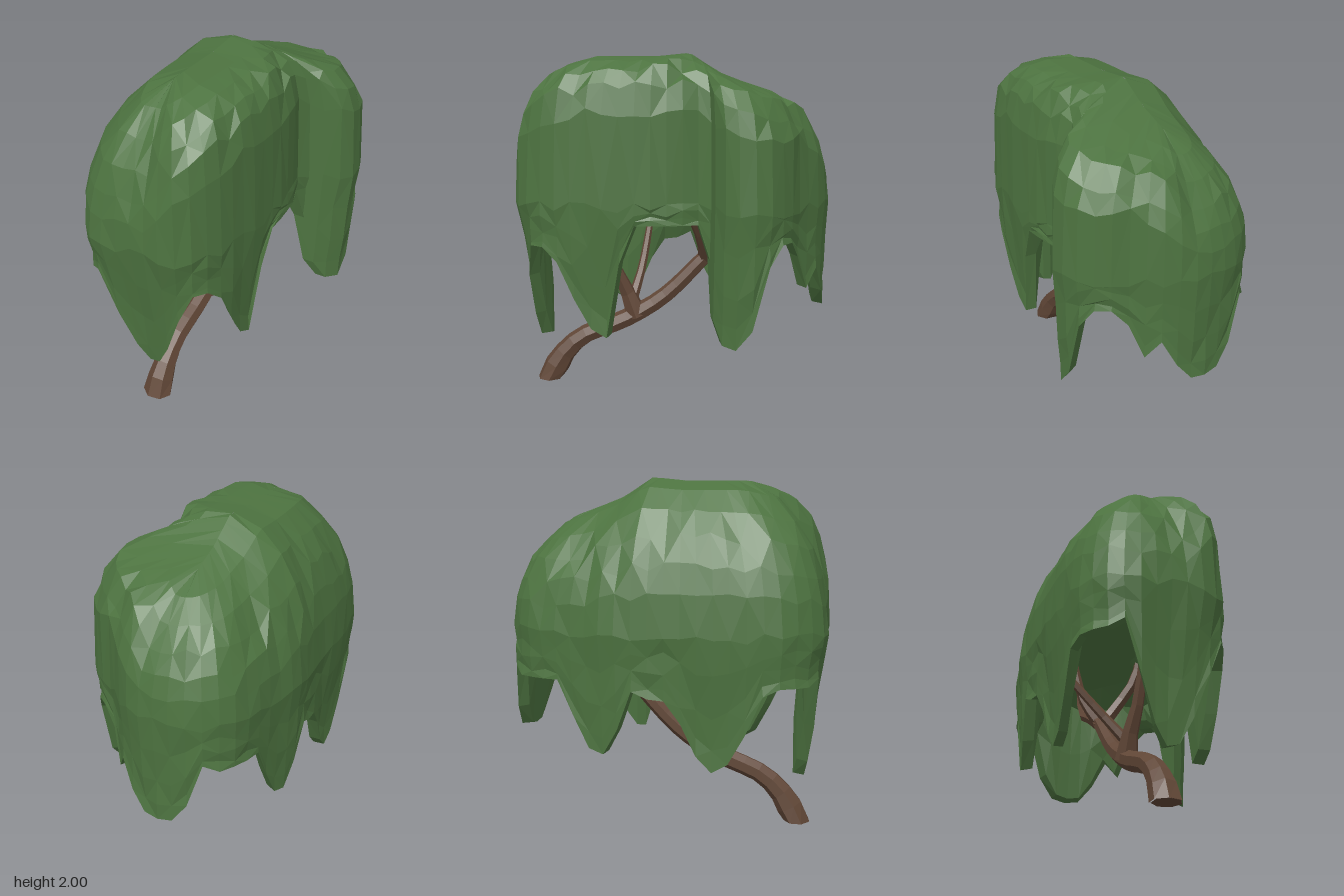
import * as THREE from 'three';

const leafMat = new THREE.MeshStandardMaterial({ color: 0x4d7340, flatShading: true });
const barkMat = new THREE.MeshStandardMaterial({ color: 0x604636, flatShading: true });
const { lerp, smoothstep, clamp } = THREE.MathUtils;

// Repeatable noise in -1..1
const noise = (i, j) => {
  const s = Math.sin(i * 127.1 + j * 311.7) * 43758.5453;
  return (s - Math.floor(s)) * 2 - 1;
};

// Canopy plan outline [x, z], from the front round by the left side
const outline = [
  [-0.08, 0.93], [0.2, 0.89], [0.33, 0.7], [0.37, 0.48], [0.385, 0.15], [0.36, -0.08],
  [0.34, -0.21], [0.46, -0.25], [0.58, -0.36], [0.575, -0.5], [0.49, -0.63], [0.31, -0.75],
  [0.15, -0.88], [-0.04, -0.93], [-0.3, -0.89], [-0.46, -0.75], [-0.53, -0.5], [-0.59, -0.2],
  [-0.575, 0.15], [-0.57, 0.45], [-0.52, 0.73], [-0.36, 0.92],
];

// Hanging foliage: x, z, half width towards the front, half width towards the back, tip height, roundness
const droops = [
  [-0.05, 0.93, 0.27, 0.27, 0.28, 1.7], [0.37, 0.41, 0.26, 0.11, 0.38, 1.3], [0.57, -0.36, 0.25, 0.19, 0.38, 1.9],
  [0.24, -0.78, 0.1, 0.1, 0.67, 1.6], [-0.06, -0.92, 0.26, 0.26, 0.5, 2.4], [-0.57, 0.36, 0.25, 0.25, 0.39, 1.4],
  [-0.57, -0.33, 0.2, 0.2, 0.46, 1.4], [-0.57, 0.03, 0.1, 0.1, 0.78, 1.3],
];

// Crown height along z
const crown = [[-1, 1.7], [-0.7, 1.76], [-0.45, 1.82], [-0.27, 1.89], [-0.1, 2], [0.1, 1.98], [0.45, 1.98], [0.65, 1.93], [1, 1.84]];
function crownHeight(z) {
  const k = crown.findIndex((c) => c[0] >= z);
  const [z0, y0] = crown[k - 1], [z1, y1] = crown[k];
  return lerp(y0, y1, (z - z0) / (z1 - z0));
}

// Lower edge of the canopy below a point of the outline
function skirtHeight(x, z) {
  const base = x > 0.3 && z > -0.24 && z < 0.35 ? 1.05 : x < -0.4 ? 0.87 : z < -0.5 ? 0.97 : 0.91;
  let y = base;
  for (const [dx, dz, front, back, tip, round] of droops) {
    const f = clamp((Math.hypot(x - dx, z - dz) - 0.03) / (z > dz ? front : back), 0, 1);
    y = Math.min(y, lerp(tip, base, f ** round));
  }
  return y;
}

// Closed foliage shell: dome, hanging skirt, inner wall and ceiling
function makeCanopy() {
  const cols = 56, widest = 1.15, midX = -0.08;
  const curve = new THREE.CatmullRomCurve3(outline.map(([x, z]) => new THREE.Vector3(x, 0, z)), true);
  curve.arcLengthDivisions = 600;
  const domeRows = [0, 0.35, 0.6, 0.78, 0.9, 0.97, 1];
  const skirtRows = [0.3, 0.6, 0.85, 1];
  const pos = [], index = [];
  let rows = 0;
  for (let i = 0; i < cols; i++) {
    const { x, z } = curve.getPointAt(i / cols);
    const midZ = z * 0.5;
    const len = Math.hypot(x - midX, z - midZ);
    const bottom = skirtHeight(x, z);
    const lean = z < -0.75 ? 0.02 : lerp(0.11, 0.05, smoothstep(Math.abs(x + 0.08), 0.25, 0.42));
    const power = lerp(2, 4.6, smoothstep(x, 0, 0.35));
    const col = [];
    const put = (r, y) => col.push([lerp(midX, x, r), y, lerp(midZ, z, r)]);
    // Dome
    domeRows.forEach((r, j) => {
      const wob = r > 0.5 ? noise(i, j) : 0;
      const top = crownHeight(lerp(midZ, z, r));
      const y = widest + (top - widest) * (1 - r ** power) ** (1 / power);
      put(r - 0.012 * Math.abs(wob) / len, y + wob * (r > 0.7 ? 0.035 : 0.008));
    });
    // Outer skirt
    const inset = (y) => lean * (widest - y) / 0.75;
    skirtRows.forEach((t, j) => {
      const y = lerp(widest, bottom, t);
      const wob = t < 1 ? 0.018 * Math.abs(noise(i, j + 20)) : 0;
      put(1 - (inset(y) + wob) / len, y + (t < 1 ? 0.02 * noise(i, j + 40) : 0));
    });
    // Inner wall, thicker towards the top, and ceiling
    const mid = Math.max(lerp(bottom, 1.1, 0.4), Math.min(0.85, bottom + 0.3));
    put(1 - (inset(bottom) + 0.065) / len, bottom + 0.01);
    put(1 - (inset(mid) + 0.115) / len, mid);
    put(1 - 0.16 / len, 1.12 + 0.02 * noise(i, 60));
    put(0.4, 1.2);
    put(0, 1.22);
    rows = col.length;
    pos.push(...col.flat());
  }
  for (let i = 0; i < cols; i++) {
    for (let j = 0; j < rows - 1; j++) {
      const a = i * rows + j, b = ((i + 1) % cols) * rows + j;
      if ((i + j) % 2) index.push(a, a + 1, b + 1, a, b + 1, b);
      else index.push(a, a + 1, b, b, a + 1, b + 1);
    }
  }
  const geo = new THREE.BufferGeometry();
  geo.setAttribute('position', new THREE.Float32BufferAttribute(pos, 3));
  geo.setIndex(index);
  geo.computeVertexNormals();
  return geo;
}

// Tapered limb through points [x, y, z, radius]
function makeLimb(points, segs, sides) {
  const curve = new THREE.CatmullRomCurve3(points.map(([x, y, z]) => new THREE.Vector3(x, y, z)));
  const geo = new THREE.TubeGeometry(curve, segs, 1, sides);
  const p = geo.attributes.position, v = new THREE.Vector3();
  for (let k = 0; k < p.count; k++) {
    const u = Math.floor(k / (sides + 1)) / segs;
    const c = curve.getPointAt(u);
    const s = curve.getUtoTmapping(u) * (points.length - 1);
    const n = Math.min(Math.floor(s), points.length - 2);
    const r = lerp(points[n][3], points[n + 1][3], s - n);
    v.fromBufferAttribute(p, k).sub(c).multiplyScalar(r).add(c);
    // Foot is cut level with the ground
    if (c.y < 0.001) v.y = 0;
    p.setXYZ(k, v.x, Math.max(0, v.y), v.z);
  }
  geo.computeVertexNormals();
  return geo;
}

export function createModel() {
  const model = new THREE.Group();
  model.name = 'weepingTree';
  const add = (name, geo, mat, parent = model) => {
    const mesh = new THREE.Mesh(geo, mat);
    mesh.name = name;
    parent.add(mesh);
    return mesh;
  };

  add('canopy', makeCanopy(), leafMat);

  const wood = new THREE.Group();
  wood.name = 'wood';
  model.add(wood);
  add('trunk', makeLimb([
    [-0.07, 0, 0.765, 0.09], [-0.07, 0.15, 0.68, 0.068], [-0.07, 0.265, 0.56, 0.058], [-0.07, 0.38, 0.29, 0.058],
    [-0.07, 0.52, 0.06, 0.052], [-0.07, 0.8, -0.22, 0.044],
  ], 14, 7), barkMat, wood);
  const foot = add('trunkFoot', new THREE.CircleGeometry(0.08, 7), barkMat, wood);
  foot.rotation.x = Math.PI / 2;
  foot.position.set(-0.07, 0.001, 0.765);

  // Branches rising into the foliage
  const branches = {
    frontBranch: [[-0.07, 0.4, 0.22, 0.07], [-0.07, 0.52, 0.265, 0.05], [-0.05, 0.68, 0.335, 0.036], [-0.02, 1.3, 0.5, 0.025]],
    frontTwig: [[-0.07, 0.5, 0.25, 0.034], [-0.2, 0.66, 0.2, 0.026], [-0.46, 0.95, 0.15, 0.02]],
    sideBranch: [[-0.07, 0.77, -0.2, 0.044], [0.02, 0.9, -0.18, 0.036], [0.12, 1.08, -0.12, 0.034], [0.16, 1.35, -0.08, 0.028]],
    backBranch: [[-0.07, 0.77, -0.19, 0.044], [-0.07, 0.88, -0.36, 0.038], [-0.07, 0.99, -0.55, 0.032], [-0.07, 1.3, -0.64, 0.022]],
    rightBranch: [[-0.07, 0.8, -0.23, 0.038], [-0.16, 0.95, -0.27, 0.03], [-0.24, 1.3, -0.3, 0.022]],
  };
  for (const [name, pts] of Object.entries(branches)) add(name, makeLimb(pts, 6, 6), barkMat, wood);

  return model;
}
